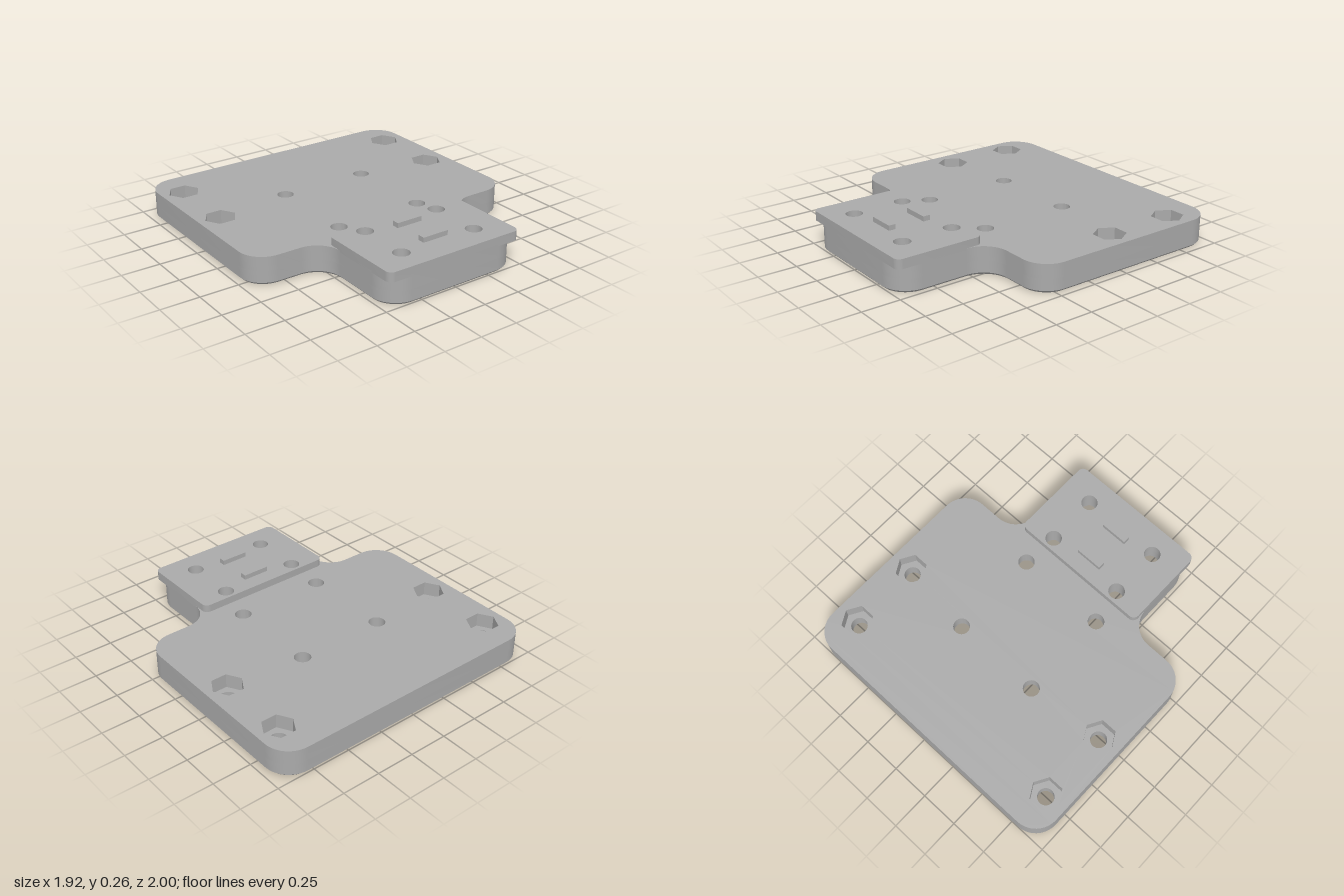
import * as THREE from 'three';
import { toCreasedNormals } from 'three/addons/utils/BufferGeometryUtils.js';

const R = 0.165, BEVEL = 0.015, MID = 0.09, TOP = 0.182;
const SMALL = 0.053;

// Plan outline (x, z) of the base: wide body, concave fillets, narrow neck
function outline(inset) {
  const pts = [];
  const arc = (cx, cz, r, a0, a1) => {
    for (let i = 0; i <= 12; i++) {
      const a = (a0 + (a1 - a0) * i / 12) * Math.PI / 180;
      pts.push(new THREE.Vector2(cx + r * Math.cos(a), cz + r * Math.sin(a)));
    }
  };
  const convex = R - inset, concave = R + inset;
  const bx = 0.96 - R, fx = 0.48 + R, nx = 0.48 - R, z = 0.365;
  arc(bx, -1 + R, convex, -90, 0);
  arc(bx, z - R, convex, 0, 90);
  arc(fx, z + R, concave, 270, 180);
  arc(nx, 1 - R, convex, 0, 90);
  arc(-nx, 1 - R, convex, 90, 180);
  arc(-fx, z + R, concave, 0, -90);
  arc(-bx, z - R, convex, 90, 180);
  arc(-bx, -1 + R, convex, 180, 270);
  return pts;
}

// Mirrored pairs of holes; six sides give a nut pocket
function addHoles(shape, x, zs, r, sides = 32) {
  for (const s of [-1, 1]) for (const z of zs) {
    const pts = [];
    for (let i = 0; i < sides; i++) {
      const a = -i / sides * Math.PI * 2;
      pts.push(new THREE.Vector2(s * x + r * Math.cos(a), z + r * Math.sin(a)));
    }
    shape.holes.push(new THREE.Path(pts));
  }
}

const CORNER = [0.81, [-0.762, -0.281]];
const INNER = [0.3, [-0.341, 0.26]];
const NECK = [0.27, [0.486, 0.832]];

export function createModel() {
  const group = new THREE.Group();
  const grey = new THREE.MeshStandardMaterial({ color: 0xaaaaaa });
  grey.name = 'grey';

  const add = (name, geo) => {
    const mesh = new THREE.Mesh(geo, grey);
    mesh.name = name;
    group.add(mesh);
    return mesh;
  };
  const slab = (name, shape, y0, y1) => {
    const geo = new THREE.ExtrudeGeometry(shape, { depth: y1 - y0, bevelEnabled: false, curveSegments: 8 });
    geo.rotateX(Math.PI / 2).translate(0, y1, 0);
    return add(name, toCreasedNormals(geo, 0.6));
  };

  // Lower half: screw holes at the corners, counterbores inside, nut pockets in the neck
  const lower = (inset) => {
    const s = new THREE.Shape(outline(inset));
    addHoles(s, ...CORNER, SMALL);
    addHoles(s, ...INNER, 0.09);
    addHoles(s, ...NECK, 0.103, 6);
    return s;
  };
  slab('baseBottom', lower(BEVEL), 0, BEVEL);
  slab('baseLower', lower(0), BEVEL, MID);

  // Upper half: nut pockets at the corners, screw holes elsewhere
  const upper = new THREE.Shape(outline(0));
  addHoles(upper, ...CORNER, 0.103, 6);
  addHoles(upper, ...INNER, SMALL);
  addHoles(upper, ...NECK, SMALL);
  slab('baseUpper', upper, MID, TOP);

  // Chamfer around the bottom edge
  const a = outline(BEVEL), b = outline(0), pos = [];
  for (let i = 0; i < a.length; i++) {
    const j = (i + 1) % a.length;
    const L0 = [a[i].x, 0, a[i].y], L1 = [a[j].x, 0, a[j].y];
    const U0 = [b[i].x, BEVEL, b[i].y], U1 = [b[j].x, BEVEL, b[j].y];
    pos.push(...L0, ...U0, ...U1, ...L0, ...U1, ...L1);
  }
  const chamfer = new THREE.BufferGeometry();
  chamfer.setAttribute('position', new THREE.Float32BufferAttribute(pos, 3));
  add('bottomChamfer', toCreasedNormals(chamfer, 0.6));

  // Mounting plate on the neck
  const x = 0.48, z0 = 0.415, z1 = 1, r = 0.04;
  const plate = new THREE.Shape();
  plate.moveTo(-x + r, z0).lineTo(x - r, z0).absarc(x - r, z0 + r, r, -Math.PI / 2, 0);
  plate.absarc(x - r, z1 - r, r, 0, Math.PI / 2);
  plate.absarc(-x + r, z1 - r, r, Math.PI / 2, Math.PI);
  plate.absarc(-x + r, z0 + r, r, Math.PI, Math.PI * 1.5);
  addHoles(plate, ...NECK, SMALL);
  slab('mountingPlate', plate, 0.17, 0.232);

  // Locating tabs
  for (const z of [0.543, 0.785]) {
    add('locatingTab', new THREE.BoxGeometry(0.18, 0.045, 0.046)).position.set(0, 0.2415, z);
  }
  return group;
}
